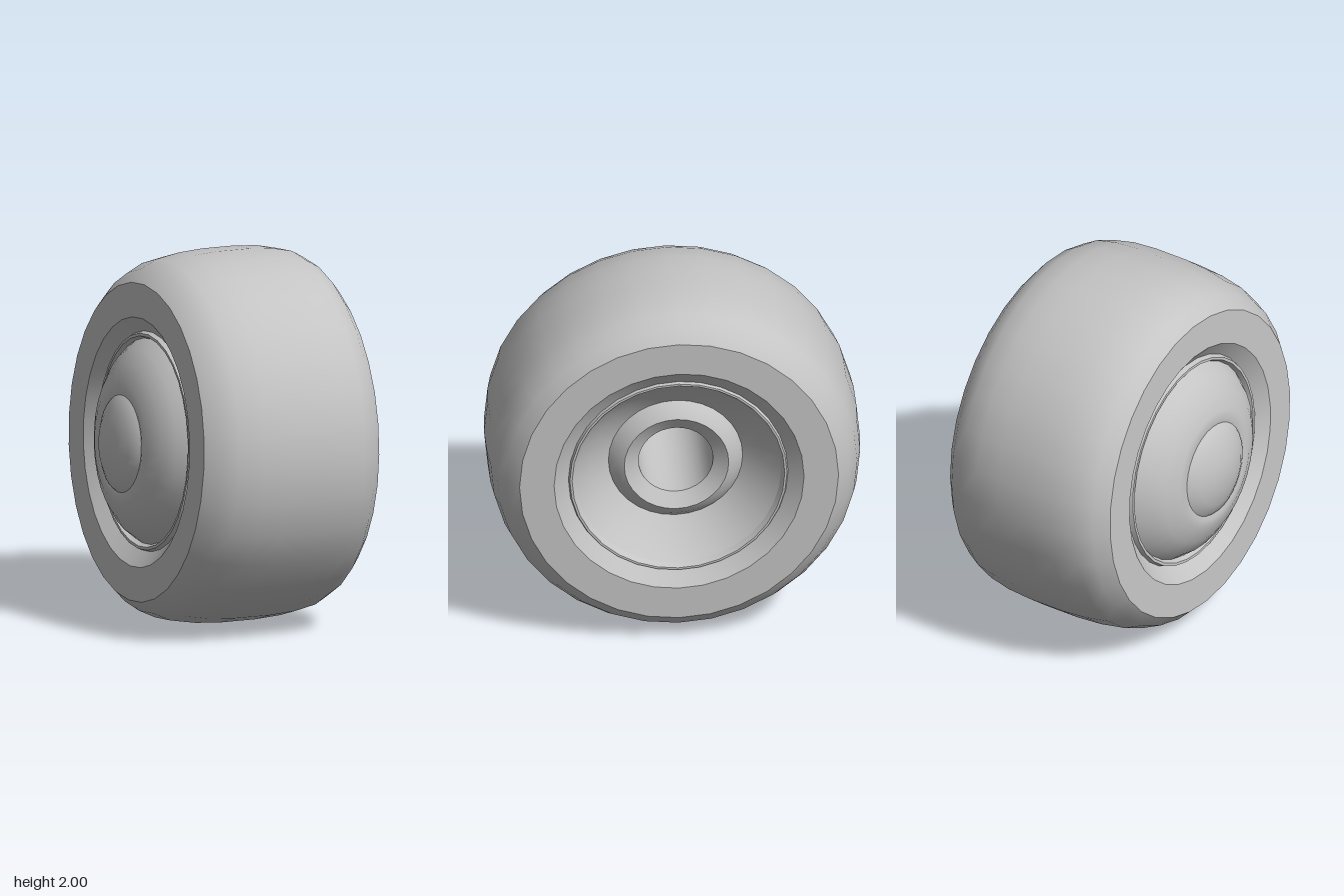
import * as THREE from 'three';
import { toCreasedNormals } from 'three/addons/utils/BufferGeometryUtils.js';

export function createModel() {
  const model = new THREE.Group();
  model.name = 'wheel';
  const grey = new THREE.MeshStandardMaterial({ color: 0xc4c4c4 });
  grey.name = 'plain grey';

  // Turn a [radius, x] profile about the x axis, lean the sides, keep hard edges
  function turned(name, profile, segments, crease) {
    const points = profile.map(([r, x]) => new THREE.Vector2(r, x));
    const geo = new THREE.LatheGeometry(points, segments);
    geo.rotateZ(-Math.PI / 2);
    const pos = geo.attributes.position;
    for (let i = 0; i < pos.count; i++) {
      const x = pos.getX(i);
      const lean = 0.055 - 0.042 * (x + 0.44) / 1.034;
      pos.setX(i, x + lean * pos.getY(i));
    }
    const mesh = new THREE.Mesh(toCreasedNormals(geo, crease), grey);
    mesh.name = name;
    mesh.position.y = 1;
    model.add(mesh);
  }

  // Tyre: bevel, sidewall, rounded tread, sidewall, bevel
  turned('tyre', [
    [0.585, -0.37], [0.67, -0.44], [0.855, -0.44], [0.92, -0.375], [0.965, -0.28],
    [0.99, -0.14], [1, 0], [1, 0.2], [0.99, 0.34], [0.965, 0.46],
    [0.92, 0.54], [0.855, 0.594], [0.67, 0.594], [0.585, 0.53],
  ], 32, 0.6);

  // Thin rim lips inside both bevels
  turned('innerRimLip', [[0.55, -0.37], [0.565, -0.4], [0.58, -0.4], [0.592, -0.37]], 32, 0.4);
  turned('outerRimLip', [[0.592, 0.525], [0.582, 0.55], [0.57, 0.55], [0.552, 0.52]], 32, 0.4);

  // Domed inner side with a raised hub cap
  turned('innerDome', [
    [0.25, -0.53], [0.285, -0.54], [0.33, -0.533], [0.42, -0.495], [0.5, -0.44], [0.555, -0.37],
  ], 32, 0.6);
  turned('innerHubCap', [
    [0, -0.607], [0.1, -0.6], [0.19, -0.575], [0.25, -0.545], [0.275, -0.52],
  ], 32, 0.6);

  // Concave outer dish rising to a hub with an open bore
  turned('outerDish', [[0.555, 0.52], [0.46, 0.42], [0.36, 0.345]], 32, 0.5);
  turned('outerHub', [[0.36, 0.345], [0.32, 0.39], [0.28, 0.415], [0.2, 0.365]], 32, 0.5);
  turned('hubBore', [
    [0.2, 0.365], [0.2, -0.5], [0.19, -0.555], [0.1, -0.585], [0, -0.592],
  ], 32, 0.8);

  return model;
}
